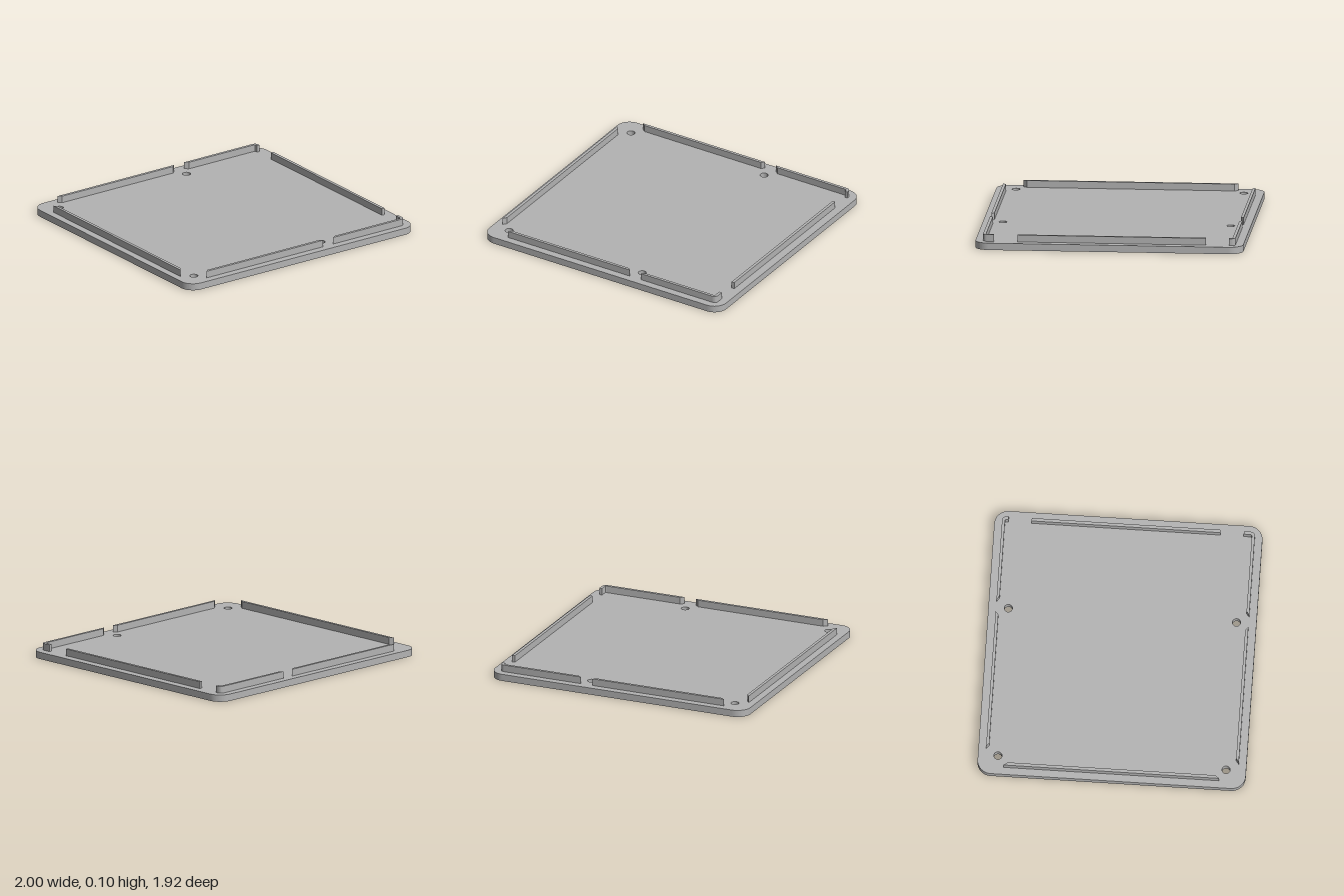
import * as THREE from 'three';
import { toCreasedNormals } from 'three/addons/utils/BufferGeometryUtils.js';

const PLATE_H = 0.05, RIB_H = 0.05;

export function createModel() {
  const group = new THREE.Group();
  const grey = new THREE.MeshStandardMaterial({ color: 0xb3b3b3 });
  grey.name = 'grey plastic';

  // Extrude a plan outline (shape y = -z) upward from height y
  function add(name, shape, y, height) {
    const flat = new THREE.ExtrudeGeometry(shape, { depth: height, bevelEnabled: false, curveSegments: 16 });
    flat.rotateX(-Math.PI / 2).translate(0, y, 0);
    const mesh = new THREE.Mesh(toCreasedNormals(flat, 0.5), grey);
    mesh.name = name;
    group.add(mesh);
  }
  const outline = (pts) => new THREE.Shape(pts.map(([x, z]) => new THREE.Vector2(x, -z)));

  // Base plate with rounded corners and four screw holes
  const W = 1, D = 0.96, R = 0.1;
  const plate = new THREE.Shape();
  plate.absarc(W - R, D - R, R, 0, Math.PI / 2);
  plate.absarc(-W + R, D - R, R, Math.PI / 2, Math.PI);
  plate.absarc(-W + R, -D + R, R, Math.PI, Math.PI * 1.5);
  plate.absarc(W - R, -D + R, R, Math.PI * 1.5, Math.PI * 2);
  plate.closePath();
  for (const x of [-0.86, 0.263]) for (const z of [-0.817, 0.817]) {
    const hole = new THREE.Path();
    hole.absarc(x, z, 0.029, 0, Math.PI * 2, true);
    plate.holes.push(hole);
  }
  add('basePlate', plate, 0, PLATE_H);

  // Front and back ribs, with ends slanted to clear the screw holes
  for (const [side, s] of [['front', 1], ['back', -1]]) {
    const zo = 0.905 * s, zi = 0.884 * s;
    add(side + 'LongRib', outline([[-0.814, zo], [0.217, zo], [0.193, zi], [-0.787, zi]]), PLATE_H, RIB_H);

    // Short rib that turns the corner on the left
    const zEnd = (s > 0 ? 0.825 : 0.859) * s;
    const corner = new THREE.Shape();
    corner.moveTo(0.307, -zo);
    corner.lineTo(0.905, -zo);
    corner.quadraticCurveTo(0.94, -zo, 0.94, -zo + 0.035 * s);
    corner.lineTo(0.94, -zEnd);
    corner.lineTo(0.918, -zEnd);
    corner.lineTo(0.918, -zi + 0.014 * s);
    corner.quadraticCurveTo(0.918, -zi, 0.904, -zi);
    corner.lineTo(0.335, -zi);
    corner.closePath();
    add(side + 'CornerRib', corner, PLATE_H, RIB_H);
  }

  // Side ribs
  add('rightRib', outline([[-0.947, -0.772], [-0.947, 0.772], [-0.925, 0.744], [-0.925, -0.744]]), PLATE_H, RIB_H);
  add('leftRib', outline([[0.918, -0.694], [0.94, -0.694], [0.94, 0.658], [0.918, 0.658]]), PLATE_H, RIB_H);

  return group;
}
